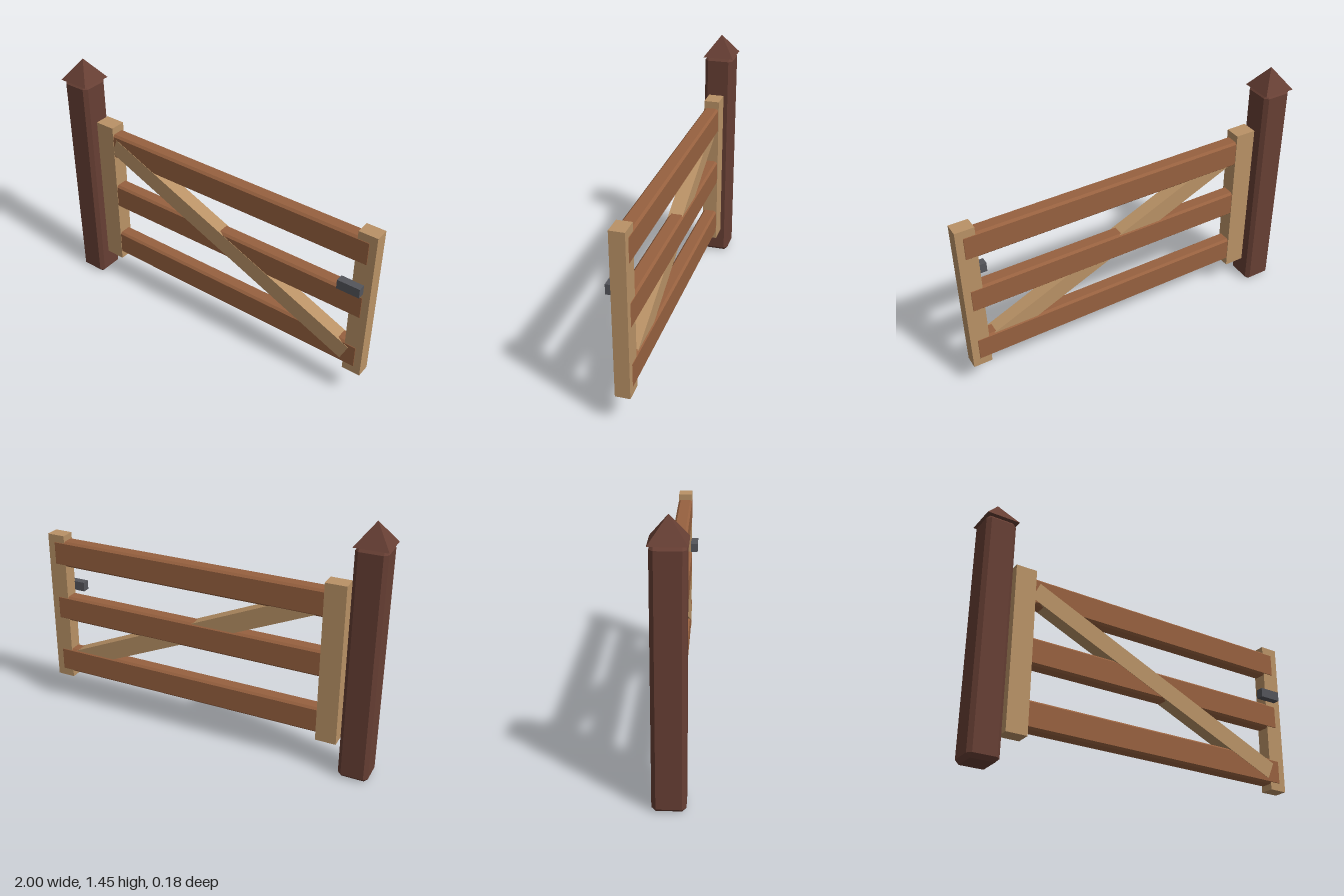
import * as THREE from 'three';
import { ConvexGeometry } from 'three/addons/geometries/ConvexGeometry.js';

const mat = (name, color) => {
  const m = new THREE.MeshStandardMaterial({ color });
  m.name = name;
  return m;
};

// Box with every edge cut at 45 degrees
function chamferedBox(w, h, d, c) {
  const points = [];
  for (const sx of [-1, 1]) for (const sy of [-1, 1]) for (const sz of [-1, 1]) {
    const x = sx * w / 2, y = sy * h / 2, z = sz * d / 2;
    points.push(
      new THREE.Vector3(x, y - sy * c, z - sz * c),
      new THREE.Vector3(x - sx * c, y, z - sz * c),
      new THREE.Vector3(x - sx * c, y - sy * c, z));
  }
  return new ConvexGeometry(points);
}

export function createModel() {
  const gate = new THREE.Group();
  gate.name = 'fieldGate';

  const darkWood = mat('dark post wood', 0x673f34);
  const railWood = mat('reddish rail wood', 0x97613f);
  const paleWood = mat('pale frame wood', 0xb99266);
  const iron = mat('dark iron', 0x54555b);

  const add = (name, geometry, material, x, y, z = 0) => {
    const mesh = new THREE.Mesh(geometry, material);
    mesh.name = name;
    mesh.position.set(x, y, z);
    gate.add(mesh);
    return mesh;
  };
  // Plain box given by its limits
  const addBox = (name, material, x0, x1, y0, y1, z0, z1) =>
    add(name, new THREE.BoxGeometry(x1 - x0, y1 - y0, z1 - z0), material,
      (x0 + x1) / 2, (y0 + y1) / 2, (z0 + z1) / 2);

  // Gate post with a pyramid cap
  const postX = -0.91;
  add('post', chamferedBox(0.168, 1.326, 0.168, 0.021), darkWood, postX, 0.663);
  const cap = new THREE.ConeGeometry(0.091 * Math.SQRT2, 0.122, 4, 1).rotateY(Math.PI / 4).toNonIndexed();
  cap.computeVertexNormals();
  add('postCap', cap, darkWood, postX, 1.386);

  // Upright stiles at the hinge and latch ends
  addBox('hingeStile', paleWood, -0.797, -0.679, 0.172, 1.1, -0.045, 0.045);
  addBox('latchStile', paleWood, 0.894, 1, 0.178, 1.092, -0.04, 0.04);

  // Three bevelled rails
  const railLeft = -0.72, railRight = 0.97;
  [0.29, 0.635, 0.98].forEach((y, i) =>
    add('rail' + (i + 1), chamferedBox(railRight - railLeft, 0.154, 0.084, 0.012), railWood,
      (railLeft + railRight) / 2, y));

  // Diagonal brace from the top of the hinge stile to the foot of the latch stile
  const a = new THREE.Vector2(-0.675, 0.983), b = new THREE.Vector2(0.896, 0.289);
  const run = b.clone().sub(a);
  const brace = add('diagonalBrace', new THREE.BoxGeometry(run.length(), 0.105, 0.08), paleWood,
    (a.x + b.x) / 2, (a.y + b.y) / 2, 0.004);
  brace.rotation.z = run.angle();

  // Latch block on the front
  addBox('latch', iron, 0.83, 0.96, 0.73, 0.785, 0.038, 0.082);

  return gate;
}
